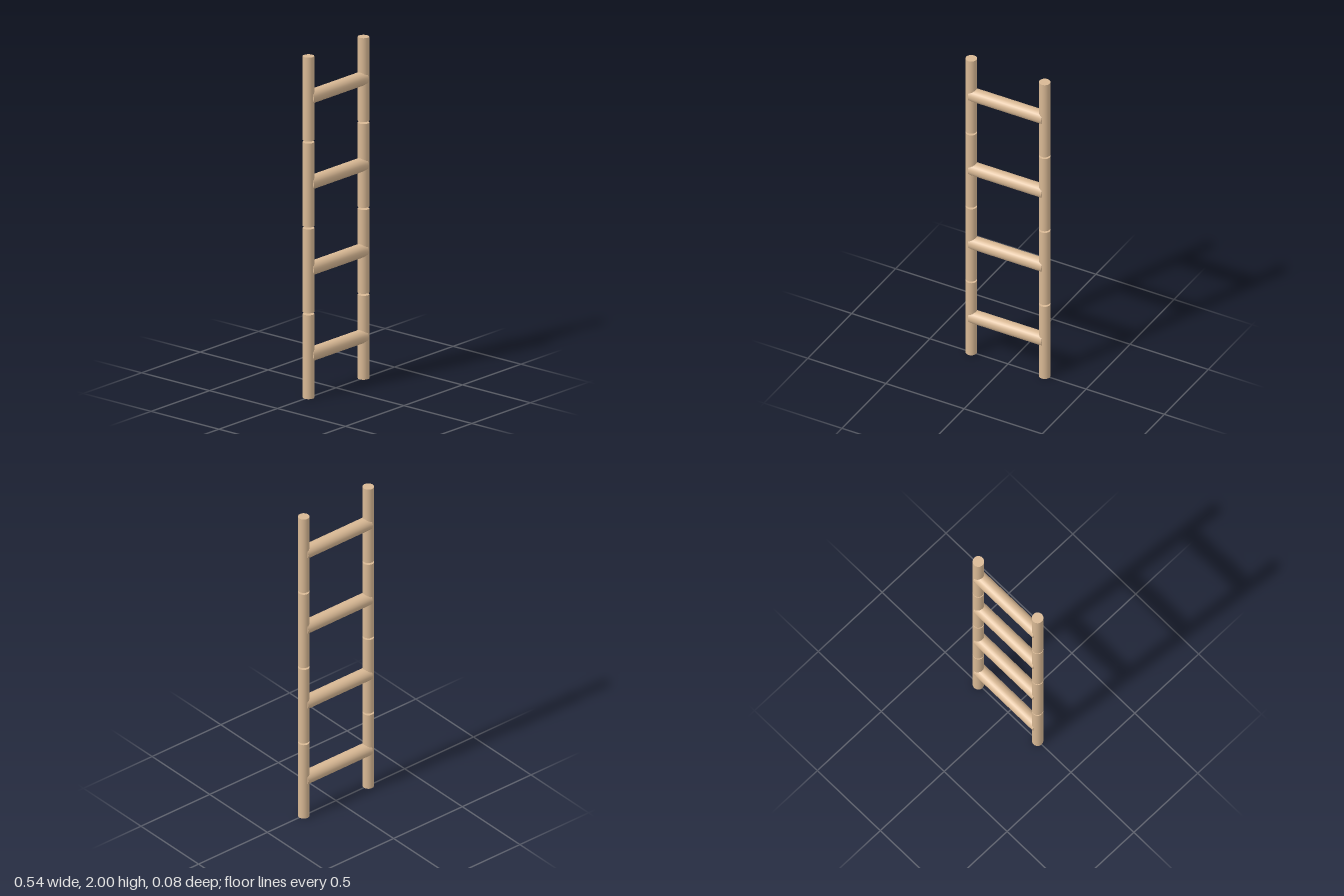
import * as THREE from 'three';

const SECTIONS = 4;
const PITCH = 0.503;      // spacing between sections
const LENGTH = 0.491;     // a rail piece, leaving a narrow gap above it
const RAIL_X = 0.235;

export function createModel() {
  const ladder = new THREE.Group();
  ladder.name = 'ladder';
  const wood = new THREE.MeshStandardMaterial({ color: 0xd8b894 });
  wood.name = 'light wood';

  const railGeometry = new THREE.CylinderGeometry(0.0325, 0.0325, LENGTH, 24);
  const rungGeometry = new THREE.CylinderGeometry(0.04, 0.04, RAIL_X * 2, 24);
  rungGeometry.rotateZ(Math.PI / 2);

  const add = (geometry, name, x, y) => {
    const mesh = new THREE.Mesh(geometry, wood);
    mesh.name = name;
    mesh.position.set(x, y, 0);
    ladder.add(mesh);
  };

  // Each section has two rail pieces joined by a rung at mid-height
  for (let i = 0; i < SECTIONS; i++) {
    const y = LENGTH / 2 + i * PITCH;
    add(railGeometry, `leftRail${i + 1}`, RAIL_X, y);
    add(railGeometry, `rightRail${i + 1}`, -RAIL_X, y);
    add(rungGeometry, `rung${i + 1}`, 0, y + 0.003);
  }
  return ladder;
}
